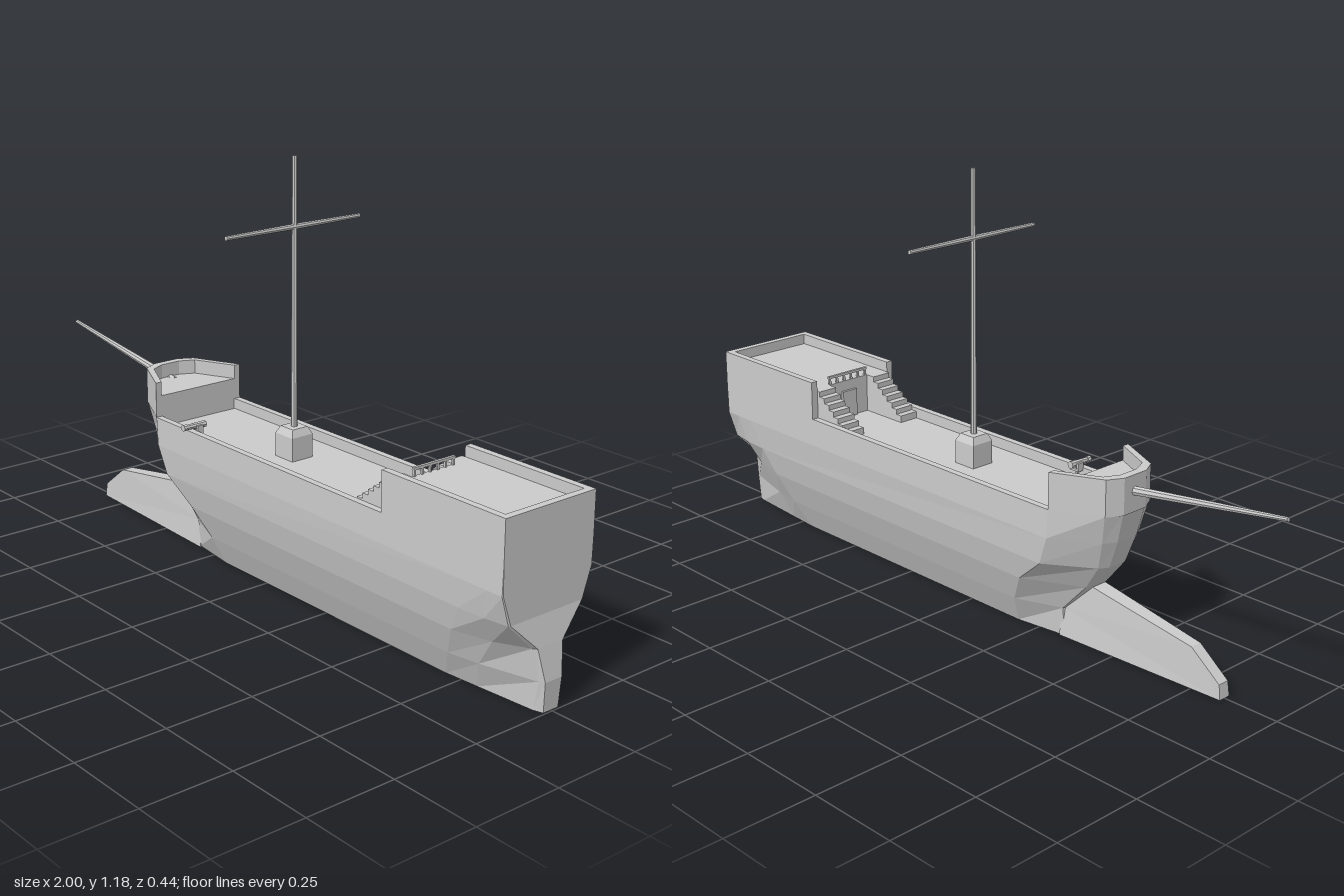
import * as THREE from 'three';

const mat = new THREE.MeshStandardMaterial({ color: 0xcccccc, flatShading: true, side: THREE.DoubleSide });

export function createModel() {
  const ship = new THREE.Group();
  ship.name = 'sailingShip';

  const add = (name, geo, x = 0, y = 0, z = 0, parent = ship) => {
    const m = new THREE.Mesh(geo, mat);
    m.name = name;
    m.position.set(x, y, z);
    parent.add(m);
    return m;
  };
  // Box given by its minimum and maximum corners
  const box = (name, x0, x1, y0, y1, z0, z1, parent = ship) =>
    add(name, new THREE.BoxGeometry(x1 - x0, y1 - y0, z1 - z0),
      (x0 + x1) / 2, (y0 + y1) / 2, (z0 + z1) / 2, parent);
  // Tapered round spar between two points
  const spar = (name, a, b, ra, rb, sides = 8, parent = ship) => {
    const p = new THREE.Vector3(...a), q = new THREE.Vector3(...b);
    const m = add(name, new THREE.CylinderGeometry(rb, ra, p.distanceTo(q), sides), 0, 0, 0, parent);
    m.position.copy(p).lerp(q, 0.5);
    m.quaternion.setFromUnitVectors(new THREE.Vector3(0, 1, 0), q.clone().sub(p).normalize());
    return m;
  };

  // Hull: waterlines of [x, half width] from bow to stern; the last two turn inward to the deck
  const levels = [
    [0, [[-.34, .02], [-.33, .035], [-.18, .055], [.70, .055], [.80, .047], [.97, .033], [.995, .025]]],
    [.08, [[-.34, .02], [-.33, .04], [-.2, .09], [.74, .09], [.83, .075], [.985, .035], [1, .028]]],
    [.165, [[-.42, .025], [-.41, .04], [-.25, .122], [.78, .122], [.89, .095], [.975, .05], [.985, .042]]],
    [.24, [[-.48, .03], [-.465, .055], [-.34, .14], [.82, .14], [.9, .136], [.967, .125], [.97, .12]]],
    [.32, [[-.51, .035], [-.49, .07], [-.37, .147], [.86, .15], [.92, .15], [.968, .15], [.97, .148]]],
    [.40, [[-.53, .04], [-.508, .083], [-.375, .147], [.86, .15], [.92, .15], [.969, .15], [.97, .15]]],
  ];
  const inner = [[-.51, .03], [-.49, .07], [-.37, .128], [.86, .13], [.92, .13], [.949, .13], [.95, .13]];
  levels.push([.40, inner], [.37, inner]);
  const rings = levels.map(([y, st]) => [
    ...st.map(([x, w]) => [x, y, w]),
    ...st.slice().reverse().map(([x, w]) => [x, y, -w]),
  ]);
  const pos = [];
  const quad = (a, b, c, d) => pos.push(...a, ...b, ...c, ...a, ...c, ...d);
  const n = rings[0].length;
  for (let k = 0; k < rings.length - 1; k++) {
    for (let i = 0; i < n; i++) {
      const j = (i + 1) % n;
      quad(rings[k][i], rings[k][j], rings[k + 1][j], rings[k + 1][i]);
    }
  }
  const bottom = rings[0], deck = rings[rings.length - 1];
  for (let i = 0; i < n / 2 - 1; i++) {
    quad(deck[i], deck[i + 1], deck[n - 2 - i], deck[n - 1 - i]);
    quad(bottom[n - 1 - i], bottom[n - 2 - i], bottom[i + 1], bottom[i]);
  }
  const hull = new THREE.BufferGeometry();
  hull.setAttribute('position', new THREE.Float32BufferAttribute(pos, 3));
  hull.computeVertexNormals();
  add('hull', hull);

  // Ram: side profile, narrowing forward and upward
  const profile = [[-.84, 0], [-.32, 0], [-.32, .08], [-.41, .165], [-.745, .11], [-.835, .04]];
  const ram = new THREE.ExtrudeGeometry(
    new THREE.Shape(profile.map((p) => new THREE.Vector2(...p))), { depth: 2, bevelEnabled: false });
  const rp = ram.attributes.position;
  for (let i = 0; i < rp.count; i++) {
    const w = THREE.MathUtils.mapLinear(rp.getX(i), -.84, -.32, .018, .042) * (1 - 2.2 * rp.getY(i));
    rp.setZ(i, (rp.getZ(i) - 1) * w);
  }
  ram.computeVertexNormals();
  add('ram', ram);

  // Forecastle: raised bulwark open aft, with its own deck
  const outer = [[-.375, .147], [-.51, .083], [-.533, .04]];
  const inside = [[-.375, .128], [-.49, .072], [-.51, .03]];
  const mirror = (pts) => [...pts, ...pts.slice().reverse().map(([x, z]) => [x, -z])];
  const slab = (name, pts, y0, y1) => {
    const geo = new THREE.ExtrudeGeometry(
      new THREE.Shape(pts.map((p) => new THREE.Vector2(...p))), { depth: y1 - y0, bevelEnabled: false });
    add(name, geo.rotateX(-Math.PI / 2), 0, y0);
  };
  slab('forecastleBulwark', [...mirror(outer), ...mirror(inside).reverse()], .40, .50);
  slab('forecastleDeck', mirror(inside), .36, .46);

  // Raised stern deck with bulwarks
  box('sternDeck', .58, .955, .36, .48, -.131, .131);
  box('sternBulwark', .95, .97, .40, .51, -.15, .15);
  for (const s of [-1, 1]) {
    box('sideBulwark', .56, .95, .40, .51, s * .14 - .01, s * .14 + .01);

    // Stairs from main deck to stern deck
    const stairs = new THREE.Group();
    stairs.name = 'stairs';
    ship.add(stairs);
    const steps = 7;
    for (let i = 0; i < steps; i++) {
      const x = .43 + i * .02;
      box('step', x, i === steps - 1 ? .58 : x + .02, .365, .39 + i * .015,
        s * .1 - .03, s * .1 + .03, stairs);
    }
  }

  // Cabin door and low rail above it
  box('cabinDoor', .572, .582, .37, .45, -.025, .025);
  box('sternRail', .58, .588, .497, .504, -.07, .07);
  for (let i = 0; i < 6; i++) {
    const z = -.065 + i * .026;
    box('railPost', .581, .587, .48, .498, z - .003, z + .003);
  }

  // Mast, step block and yard
  box('mastBlock', .015, .085, .365, .435, -.035, .035);
  add('mastBlockTop', new THREE.CylinderGeometry(.036, .0495, .02, 4).rotateY(Math.PI / 4), .05, .445, 0);
  spar('mast', [.05, .37, 0], [.05, 1.18, 0], .009, .007);
  spar('yard', [.05, .995, 0], [.05, .995, .222], .008, .006);
  spar('yard', [.05, .995, 0], [.05, .995, -.222], .008, .006);

  // Bowsprit
  spar('bowsprit', [-.49, .45, 0], [-1, .52, 0], .013, .006);

  // Swivel gun on the rail
  const gun = new THREE.Group();
  gun.name = 'swivelGun';
  ship.add(gun);
  spar('gunBarrel', [-.22, .412, .095], [-.222, .412, .165], .01, .007, 8, gun);
  spar('gunMuzzle', [-.222, .412, .155], [-.222, .412, .167], .009, .009, 8, gun);
  spar('gunPivot', [-.22, .37, .122], [-.22, .405, .122], .005, .005, 6, gun);
  for (const s of [-1, 1]) box('gunYoke', -.22 + s * .012 - .003, -.22 + s * .012 + .003, .395, .415, .11, .13, gun);
  box('gunYokeBase', -.235, -.205, .392, .398, .11, .13, gun);

  return ship;
}
